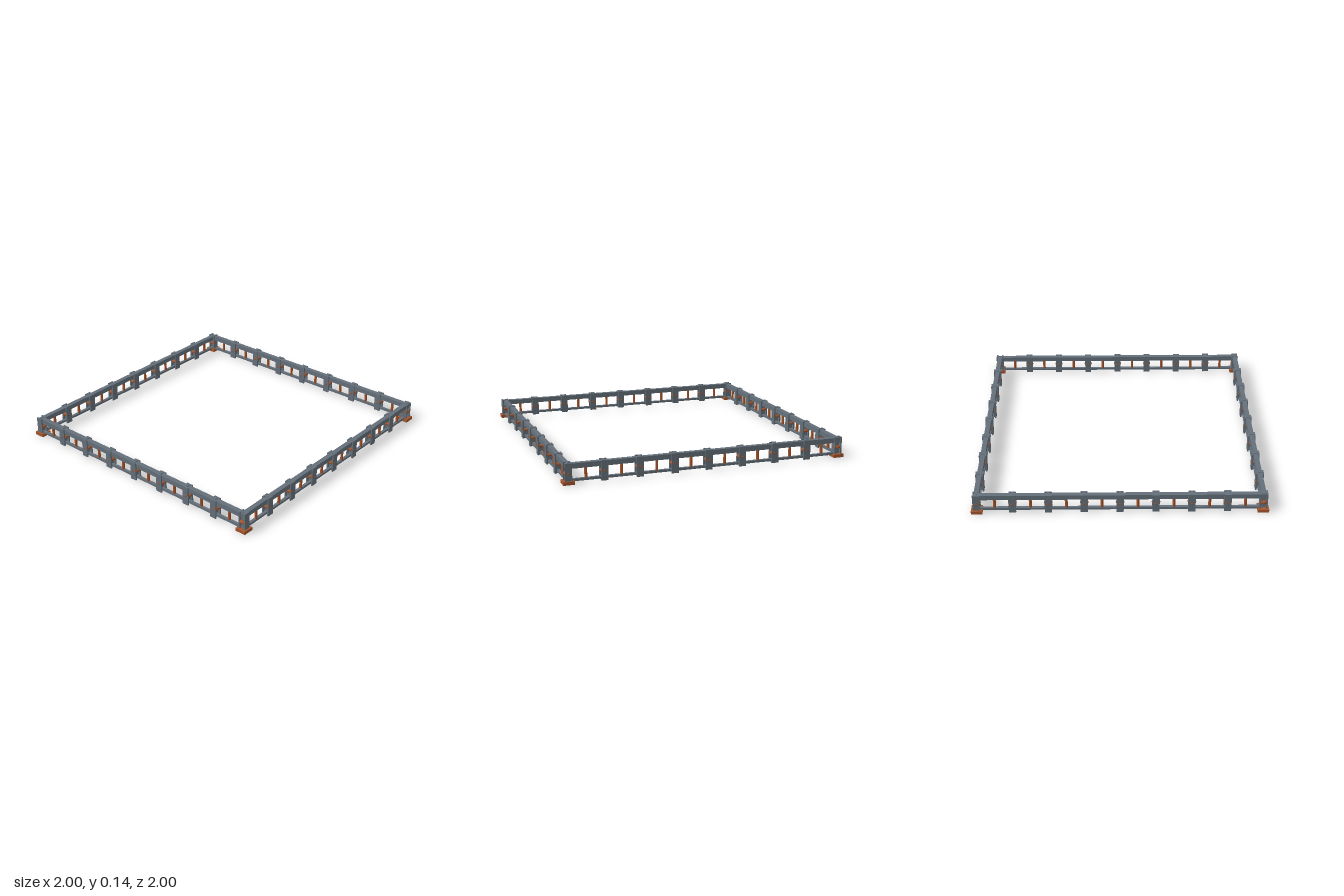
import * as THREE from 'three';

const HALF = 0.96;   // centre line of each fence side
const BAYS = 8;
const STEP = (2 * HALF) / BAYS;

export function createModel() {
  const model = new THREE.Group();
  model.name = 'squareRailing';

  const steel = new THREE.MeshStandardMaterial({ color: 0x65707a });
  steel.name = 'blue grey steel';
  const rust = new THREE.MeshStandardMaterial({ color: 0xa4552c, flatShading: true });
  rust.name = 'rusty orange';

  const add = (parent, name, geometry, material, x, y, z) => {
    const mesh = new THREE.Mesh(geometry, material);
    mesh.name = name;
    mesh.position.set(x, y, z);
    parent.add(mesh);
    return mesh;
  };

  // Shared geometries
  const flange = new THREE.BoxGeometry(0.048, 0.135, 0.01);
  const web = new THREE.BoxGeometry(0.014, 0.135, 0.036);
  const collar = new THREE.TorusGeometry(0.018, 0.012, 8, 12).rotateX(Math.PI / 2);
  const topRail = new THREE.BoxGeometry(2 * HALF + 0.034, 0.034, 0.034);
  const lowRail = new THREE.BoxGeometry(2 * HALF, 0.016, 0.02);
  const baluster = new THREE.CylinderGeometry(0.01, 0.01, 0.08, 8);
  const footPlate = new THREE.BoxGeometry(0.076, 0.022, 0.076);

  // H-section post with a rusty collar at mid height
  const makePost = (name) => {
    const post = new THREE.Group();
    post.name = name;
    for (const s of [-1, 1]) add(post, 'postFlange', flange, steel, 0, 0.0725, s * 0.0215);
    add(post, 'postWeb', web, steel, 0, 0.0725, 0);
    add(post, 'postCollar', collar, rust, 0, 0.07, 0);
    return post;
  };

  // Four identical sides turned about the centre
  ['front', 'left', 'back', 'right'].forEach((sideName, k) => {
    const side = new THREE.Group();
    side.name = sideName + 'Side';
    side.rotation.y = (k * Math.PI) / 2;
    model.add(side);

    add(side, 'topRail', topRail, steel, 0, 0.118, HALF);
    add(side, 'lowerRail', lowRail, steel, 0, 0.023, HALF);

    for (let i = 0; i < BAYS; i++) {
      const x = -HALF + i * STEP;
      // The first post of each side is the shared corner post
      const post = makePost(i === 0 ? 'cornerPost' : 'post');
      post.position.set(x, 0, HALF);
      side.add(post);
      add(side, 'baluster', baluster, rust, x + STEP / 2, 0.066, HALF);
    }

    // Rusty foot under the corner
    add(side, 'cornerFoot', footPlate, rust, -HALF, 0.011, HALF);
  });

  return model;
}
